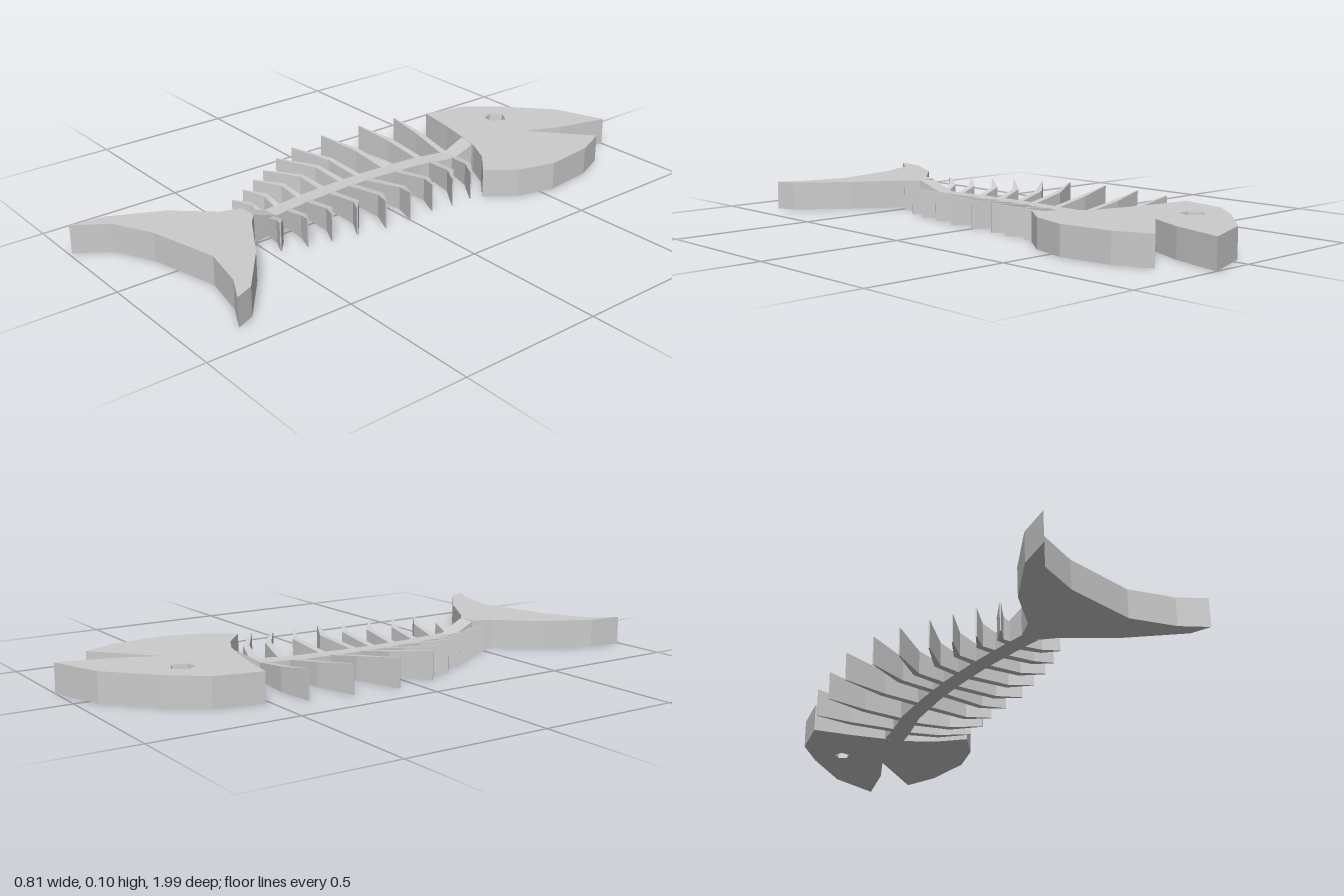
import * as THREE from 'three';

const HEIGHT = 0.1, SPINE_HEIGHT = 0.06;
const material = new THREE.MeshStandardMaterial({ color: 0xcccccc, flatShading: true });
const doubleSided = new THREE.MeshStandardMaterial({ color: 0xcccccc, flatShading: true, side: THREE.DoubleSide });

function addMesh(parent, name, geometry, mat = material) {
  const mesh = new THREE.Mesh(geometry, mat);
  mesh.name = name;
  parent.add(mesh);
  return mesh;
}

// Flat plate from an [x, z] outline, standing on y = 0
function plate(outline, hole) {
  const toPoints = list => list.map(([x, z]) => new THREE.Vector2(x, -z));
  const shape = new THREE.Shape(toPoints(outline));
  if (hole) shape.holes.push(new THREE.Path(toPoints(hole)));
  return new THREE.ExtrudeGeometry(shape, { depth: HEIGHT, bevelEnabled: false }).rotateX(-Math.PI / 2);
}

// Bar along a path of [x, z, half width, height] sections
function bar(sections) {
  const positions = [], index = [], n = sections.length;
  sections.forEach(([x, z, w, h], i) => {
    const a = sections[Math.max(i - 1, 0)], b = sections[Math.min(i + 1, n - 1)];
    const dx = b[0] - a[0], dz = b[1] - a[1], len = Math.hypot(dx, dz);
    const sx = (-dz / len) * w, sz = (dx / len) * w;
    positions.push(x - sx, 0, z - sz, x + sx, 0, z + sz, x + sx, h, z + sz, x - sx, h, z - sz);
  });
  for (let i = 0; i < n - 1; i++) {
    for (let k = 0; k < 4; k++) {
      const a = i * 4 + k, b = i * 4 + (k + 1) % 4;
      index.push(a, a + 4, b, b, a + 4, b + 4);
    }
  }
  const e = (n - 1) * 4;
  index.push(0, 1, 2, 0, 2, 3, e, e + 2, e + 1, e, e + 3, e + 2);
  const geometry = new THREE.BufferGeometry();
  geometry.setAttribute('position', new THREE.Float32BufferAttribute(positions, 3));
  geometry.setIndex(index);
  const flat = geometry.toNonIndexed();
  flat.computeVertexNormals();
  return flat;
}

export function createModel() {
  const group = new THREE.Group();
  group.name = 'fishSkeleton';

  // Head with open mouth and five-sided eye hole
  const eyeX = -0.125, eyeZ = -0.694, eyeR = 0.042, turn = 0.1;
  const eye = Array.from({ length: 5 }, (_, i) => {
    const a = turn + Math.PI + (i * Math.PI * 2) / 5;
    return [eyeX + Math.sin(a) * eyeR, eyeZ + Math.cos(a) * eyeR];
  });
  addMesh(group, 'head', plate([
    [0.147, -1], [-0.035, -0.935], [-0.195, -0.79], [-0.287, -0.68], [-0.32, -0.515],
    [-0.175, -0.49], [-0.065, -0.465], [0.026, -0.44], [0.115, -0.395], [0.205, -0.315],
    [0.28, -0.415], [0.317, -0.55], [0.295, -0.735], [0.243, -0.855], [0.042, -0.685], [0.1, -0.815],
  ], eye));

  // Tapered lining of the eye hole
  const lining = [[0.028, 0], [eyeR, 0], [eyeR, HEIGHT], [0.028, 0]].map(p => new THREE.Vector2(...p));
  const socket = addMesh(group, 'eyeSocket',
    new THREE.LatheGeometry(lining, 5, turn + Math.PI), doubleSided);
  socket.position.set(eyeX, 0, eyeZ);

  // Tail fin
  addMesh(group, 'tailFin', plate([
    [-0.07, 0.497], [-0.005, 0.497], [0.032, 0.53], [0.21, 0.635], [0.375, 0.765], [0.403, 0.83],
    [0.31, 0.783], [0.15, 0.75], [-0.1, 0.81], [-0.237, 0.88], [-0.312, 0.99],
    [-0.297, 0.87], [-0.21, 0.695], [-0.095, 0.57],
  ]));

  // Curved spine, rising at both ends to meet head and tail
  const spine = [
    [-0.025, -0.455, 0.036, HEIGHT], [-0.037, -0.38, 0.034, SPINE_HEIGHT],
    [-0.069, -0.24, 0.031, SPINE_HEIGHT], [-0.082, -0.06, 0.029, SPINE_HEIGHT],
    [-0.083, 0.08, 0.029, SPINE_HEIGHT], [-0.074, 0.24, 0.029, SPINE_HEIGHT],
    [-0.054, 0.4, 0.03, SPINE_HEIGHT], [-0.037, 0.5, 0.031, HEIGHT],
  ];
  addMesh(group, 'spine', bar(spine));

  const spineX = z => {
    const i = Math.max(1, spine.findIndex(s => s[1] >= z));
    const [a, b] = [spine[i - 1], spine[i]];
    return THREE.MathUtils.lerp(a[0], b[0], (z - a[1]) / (b[1] - a[1]));
  };

  // Ribs: root z, then middle and tip [x, z]; they grow taller toward the tips
  const rightRibs = [
    [-0.375, -0.23, -0.395, -0.365, -0.39], [-0.275, -0.24, -0.268, -0.388, -0.238],
    [-0.127, -0.24, -0.115, -0.403, -0.072], [-0.008, -0.24, 0.01, -0.377, 0.08],
    [0.063, -0.22, 0.085, -0.333, 0.18], [0.153, -0.19, 0.175, -0.276, 0.275],
    [0.253, -0.17, 0.268, -0.232, 0.347], [0.353, -0.14, 0.36, -0.187, 0.418],
    [0.428, -0.11, 0.435, -0.143, 0.49],
  ];
  const leftRibs = [
    [-0.38, 0.1, -0.343, 0.195, -0.268], [-0.288, 0.1, -0.258, 0.195, -0.183],
    [-0.137, 0.1, -0.148, 0.183, -0.102], [-0.015, 0.1, -0.037, 0.183, -0.004],
    [0.06, 0.1, 0.057, 0.183, 0.102], [0.15, 0.09, 0.155, 0.163, 0.207],
    [0.25, 0.075, 0.255, 0.148, 0.298], [0.342, 0.065, 0.35, 0.127, 0.38],
    [0.42, 0.045, 0.432, 0.095, 0.465],
  ];
  for (const [name, ribs, side] of [['rightRib', rightRibs, -1], ['leftRib', leftRibs, 1]]) {
    ribs.forEach(([rootZ, midX, midZ, tipX, tipZ], i) => {
      addMesh(group, name + (i + 1), bar([
        [spineX(rootZ) + side * 0.02, rootZ, 0.013, SPINE_HEIGHT],
        [midX, midZ, 0.011, 0.082],
        [tipX, tipZ, 0.002, HEIGHT],
      ]));
    });
  }
  return group;
}
